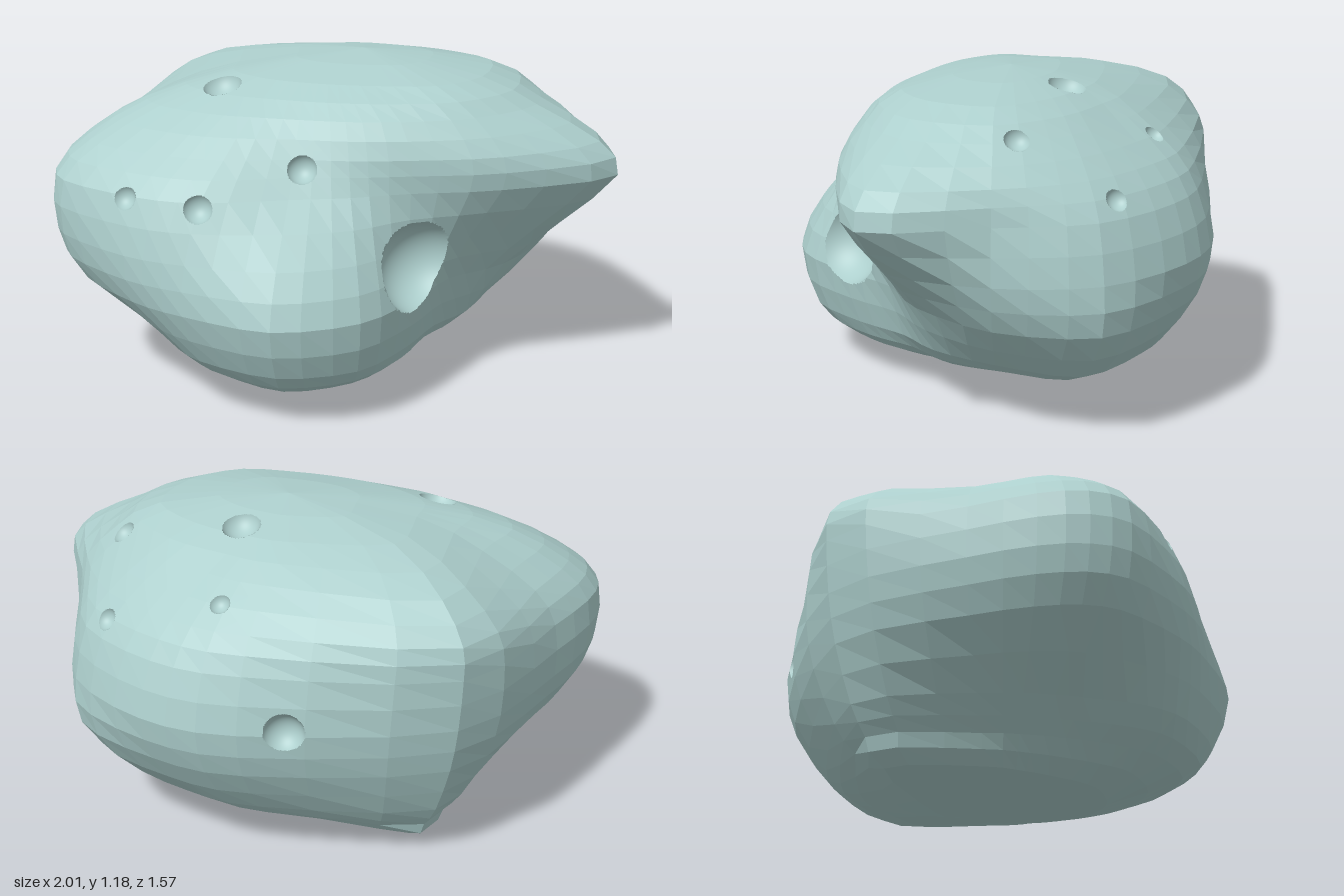
import * as THREE from 'three';

// Compass angles (degrees from +x towards +z) shared by every cross-section
const ANGLES = [0, 23.7, 45, 68, 90, 112, 135, 150, 169, 182, 202, 239, 292, 315, 338];

// Cross-sections from bottom to top: height and radius at each angle
const SECTIONS = [
  { y: 0.03, r: [.14, .15, .17, .22, .31, .38, .40, .39, .38, .39, .43, .57, .24, .17, .14] },
  { y: 0.12, r: [.44, .41, .39, .47, .58, .66, .62, .56, .51, .50, .51, .66, .53, .52, .53] },
  { y: 0.22, r: [.64, .55, .49, .56, .70, .77, .75, .71, .64, .62, .62, .73, .66, .72, .80] },
  { y: 0.42, r: [.86, .68, .55, .61, .75, .84, .84, .87, .92, .89, .80, .81, .79, .87, .97] },
  { y: 0.60, r: [.94, .88, .63, .57, .67, .75, .82, .90, 1.0, .98, .87, .85, .83, .92, .98] },
  { y: 0.80, r: [.93, 1.08, .76, .57, .54, .57, .73, .84, .99, .98, .86, .87, .78, .86, .93] },
  { y: 0.92, r: [.90, 1.01, .76, .57, .50, .49, .60, .70, .86, .87, .78, .86, .71, .76, .84] },
  { y: 1.04, r: [.78, .78, .64, .50, .43, .41, .45, .52, .63, .66, .58, .73, .56, .59, .69] },
  { y: 1.13, r: [.62, .58, .48, .33, .27, .25, .26, .28, .32, .34, .33, .43, .38, .42, .51] },
];
const BOTTOM = new THREE.Vector3(-0.04, 0, 0);
const TOP = new THREE.Vector3(0.15, 1.185, -0.04);
const SIDES = 45;
const TENSION = 0.45;

// Craters: approximate centre and opening radius
const CRATERS = [
  [0.21, 0.52, 0.53, 0.155],
  [0.31, 1.14, -0.24, 0.067],
  [-0.39, 1.09, 0.11, 0.068],
  [0.75, 1.05, -0.08, 0.044],
  [0.77, 0.85, -0.40, 0.04],
  [0.36, 0.955, -0.53, 0.036],
  [-0.76, 0.79, 0.39, 0.042],
  [-0.52, 0.775, 0.51, 0.05],
  [-0.16, 0.89, 0.48, 0.05],
  [0.15, 0.61, -0.77, 0.07],
];

// Spline a closed ring through the control points of one cross-section
function ringPoints({ y, r }) {
  const pts = r.map((rad, i) => {
    const a = THREE.MathUtils.degToRad(ANGLES[i]);
    return new THREE.Vector3(rad * Math.cos(a), y, rad * Math.sin(a));
  });
  const curve = new THREE.CatmullRomCurve3(pts, true, 'catmullrom', TENSION);
  return Array.from({ length: SIDES }, (_, i) => curve.getPoint(i / SIDES));
}

// Mirror a point across a pole, so that the surface runs level through the pole
const across = (pole, p) => new THREE.Vector3(2 * pole.x - p.x, p.y, 2 * pole.z - p.z);

// Faceted body as a list of outward-facing triangles
function bodyTriangles() {
  const rings = SECTIONS.map(ringPoints);
  const rows = (rings.length + 1) * 2;
  const columns = rings[0].map((_, j) => {
    const side = rings.map((ring) => ring[j]);
    const pts = [across(BOTTOM, side[0]), BOTTOM, ...side, TOP, across(TOP, side.at(-1))];
    const curve = new THREE.CatmullRomCurve3(pts, false, 'catmullrom', TENSION);
    return curve.getPoints(rows + 4).slice(2, -2);
  });

  const tris = [];
  columns.forEach((c0, j) => {
    const c1 = columns[(j + 1) % SIDES];
    for (let i = 0; i < rows; i++) {
      if (i < rows - 1) tris.push([c0[i], c0[i + 1], c1[i + 1]]);
      if (i > 0) tris.push([c0[i], c1[i + 1], c1[i]]);
    }
  });
  return tris;
}

// Split a triangle along its longest edge until it is fine enough near the bowl
function refine(tri, bowl, limit, out) {
  const near = new THREE.Triangle(...tri).closestPointToPoint(bowl.center, new THREE.Vector3());
  const lengths = tri.map((p, i) => p.distanceTo(tri[(i + 1) % 3]));
  const longest = Math.max(...lengths);
  if (near.distanceTo(bowl.center) > bowl.radius || longest < limit) {
    out.push(tri);
    return;
  }
  const k = lengths.indexOf(longest);
  const [a, b, c] = [tri[k], tri[(k + 1) % 3], tri[(k + 2) % 3]];
  const mid = a.clone().add(b).multiplyScalar(0.5);
  refine([a, mid, c], bowl, limit, out);
  refine([mid, b, c], bowl, limit, out);
}

// Press a round bowl into the surface nearest to the given point
function carve(tris, [x, y, z, r]) {
  const target = new THREE.Vector3(x, y, z);
  const spot = new THREE.Vector3(), p = new THREE.Vector3(), normal = new THREE.Vector3();
  let best = Infinity;
  for (const tri of tris) {
    const t = new THREE.Triangle(...tri);
    t.closestPointToPoint(target, p);
    const d = p.distanceTo(target);
    if (d < best) {
      best = d;
      spot.copy(p);
      t.getNormal(normal);
    }
  }
  const bowl = new THREE.Sphere(spot.clone().addScaledVector(normal, r * 0.4), r * 1.08);
  const fine = [];
  for (const tri of tris) refine(tri, bowl, r / 12, fine);

  return fine.map((tri) => {
    const moved = tri.map((v) => {
      const d = v.clone().sub(bowl.center);
      if (d.length() >= bowl.radius) return v;
      const along = d.dot(normal);
      const depth = Math.sqrt(bowl.radius ** 2 - (d.lengthSq() - along * along));
      return v.clone().addScaledVector(normal, -depth - along);
    });
    // Bowl faces get smooth normals pointing at the bowl centre
    moved.normals = tri.normals;
    if (moved.some((v, i) => v !== tri[i])) {
      moved.normals = moved.map((v) => bowl.center.clone().sub(v).normalize());
    }
    return moved;
  });
}

export function createModel() {
  const stone = new THREE.MeshStandardMaterial({ name: 'paleStone', color: 0xadcfcd });

  let tris = bodyTriangles();
  for (const crater of CRATERS) tris = carve(tris, crater);

  // Flat facets on the body, smooth shading inside the craters
  const geometry = new THREE.BufferGeometry().setFromPoints(tris.flat());
  geometry.computeVertexNormals();
  const normals = geometry.attributes.normal;
  tris.forEach((tri, i) => {
    tri.normals?.forEach((n, k) => normals.setXYZ(i * 3 + k, n.x, n.y, n.z));
  });

  const rock = new THREE.Mesh(geometry, stone);
  rock.name = 'crateredRock';
  const group = new THREE.Group();
  group.name = 'asteroid';
  group.add(rock);
  return group;
}
